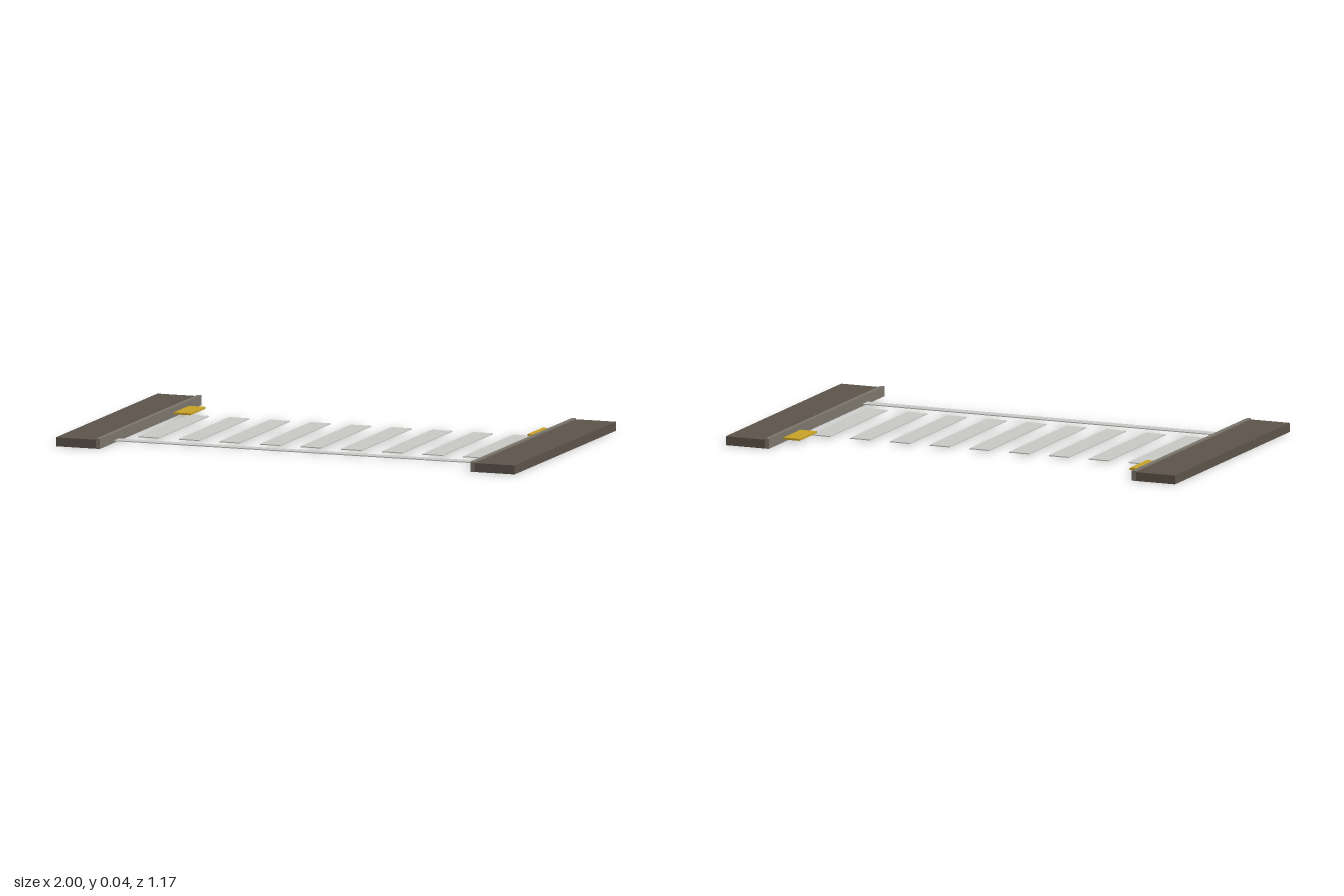
import * as THREE from 'three';

const mat = (name, color) => {
  const m = new THREE.MeshStandardMaterial({ color });
  m.name = name;
  return m;
};

export function createModel() {
  const group = new THREE.Group();
  const paving = mat('dark paving', 0x5d544a);
  const stone = mat('kerb stone', 0x7c766c);
  const paint = mat('road paint', 0xc9c9c6);
  const yellow = mat('warning yellow', 0xc9a227);

  // Box given by its low and high limits on each axis
  const box = (name, material, [x0, x1], [y0, y1], [z0, z1]) => {
    const mesh = new THREE.Mesh(new THREE.BoxGeometry(x1 - x0, y1 - y0, z1 - z0), material);
    mesh.position.set((x0 + x1) / 2, (y0 + y1) / 2, (z0 + z1) / 2);
    mesh.name = name;
    group.add(mesh);
  };
  const span = (a, b, side) => (side > 0 ? [a, b] : [-b, -a]);

  // Pavement, kerb and warning pad on each side
  for (const side of [-1, 1]) {
    const label = side > 0 ? 'left' : 'right';
    box(label + 'Pavement', paving, span(0.826, 1, side), [0, 0.037], [-0.587, 0.587]);
    box(label + 'Kerb', stone, span(0.808, 0.826, side), [0, 0.042], [-0.587, 0.587]);
    box(label + 'WarningPad', yellow, span(0.735, 0.808, side), [0.012, 0.02], [-0.441, -0.265]);
  }

  // Crossing stripes
  for (let i = 0; i < 9; i++) {
    const x = (i - 4) * 0.177;
    box('crossingStripe' + (i + 1), paint, [x - 0.044, x + 0.044], [0.006, 0.01], [-0.292, 0.292]);
  }

  // Stop line between the kerbs
  box('stopLine', paint, [-0.808, 0.808], [0.006, 0.01], [0.369, 0.417]);

  return group;
}
